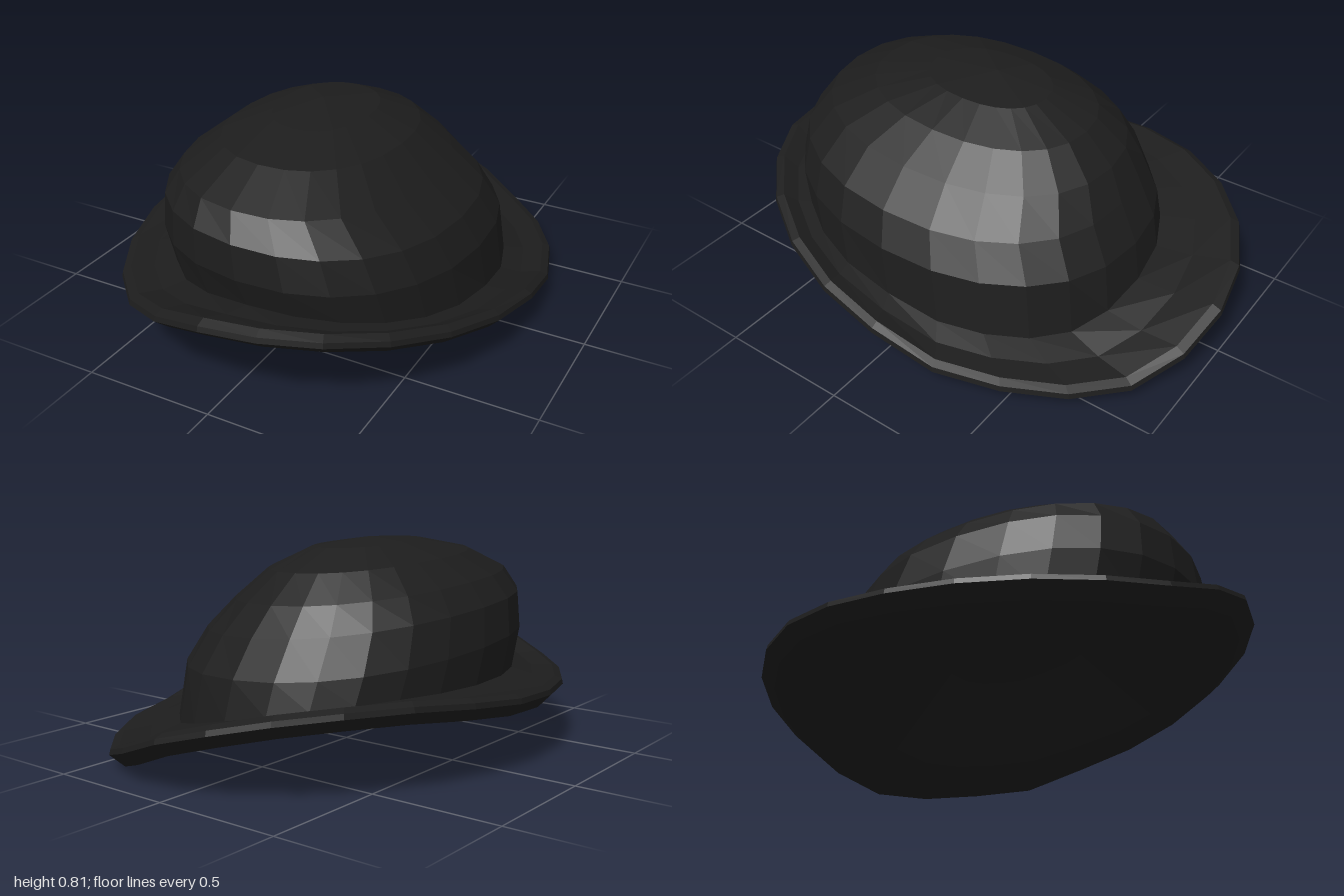
import * as THREE from 'three';

const SEG = 24;
const felt = new THREE.MeshStandardMaterial({ color: 0x1d1d1d });
felt.name = 'black felt';

// Height of the wavy brim edge every 30 degrees, from +x round towards +z
const WAVE = [0.13, 0.22, 0.3, 0.32, 0.23, 0.22, 0.25, 0.3, 0.28, 0.185, 0.048, 0.058];
const curve = new THREE.CatmullRomCurve3(WAVE.map((y, i) => new THREE.Vector3(i, y, 0)), true);
const edgeHeight = (k) => curve.getPoint(k / SEG).y;

// Tilted crown rings: [xMin, y, xMax, y, zFront, y, zBack, y]
const CROWN = [
  [-0.22, 0.790, 0.13, 0.775, 0.33, 0.78, -0.18, 0.77],
  [-0.37, 0.740, 0.28, 0.710, 0.56, 0.73, -0.36, 0.69],
  [-0.48, 0.650, 0.41, 0.600, 0.75, 0.65, -0.48, 0.59],
  [-0.545, 0.56, 0.54, 0.480, 0.81, 0.56, -0.55, 0.48],
  [-0.57, 0.400, 0.60, 0.340, 0.82, 0.45, -0.63, 0.36],
  [-0.56, 0.270, 0.62, 0.180, 0.78, 0.32, -0.66, 0.21],
];

function ring(fn) {
  return Array.from({ length: SEG }, (_, k) => fn((k / SEG) * Math.PI * 2, k));
}

function crownRing([xl, yl, xr, yr, zf, yf, zb, yb]) {
  const soft = (v) => Math.sign(v) * Math.abs(v) ** 0.9;
  return ring((t) => {
    const c = Math.cos(t), s = Math.sin(t);
    return new THREE.Vector3(
      (xl + xr) / 2 + ((xr - xl) / 2) * soft(c),
      (yl + yr + yf + yb) / 4 + ((yr - yl) / 2) * c + ((yf - yb) / 2) * s,
      (zf + zb) / 2 + ((zf - zb) / 2) * soft(s));
  });
}

function edgeRing(scale, lift) {
  return ring((t, k) => new THREE.Vector3(
    scale * (0.785 * Math.cos(t) - 0.02 * Math.sin(t)), edgeHeight(k) + lift, scale * Math.sin(t)));
}

// Ring part of the way from a to b, where b may be a one-point ring
function between(a, b, f, lift) {
  return a.map((p, k) => {
    const q = p.clone().lerp(b[k % b.length], f);
    q.y += lift;
    return q;
  });
}

// Faceted skin over successive rings; a one-point ring closes an end
function loft(name, rings) {
  const pos = [];
  const tri = (...pts) => pts.forEach((p) => pos.push(p.x, p.y, p.z));
  for (let i = 0; i + 1 < rings.length; i++) {
    const up = rings[i], lo = rings[i + 1];
    for (let k = 0; k < SEG; k++) {
      const n = (k + 1) % SEG;
      const a = up[k % up.length], b = up[n % up.length];
      const c = lo[k % lo.length], d = lo[n % lo.length];
      if (up.length > 1) tri(a, b, c);
      if (lo.length > 1) tri(b, d, c);
    }
  }
  const geo = new THREE.BufferGeometry();
  geo.setAttribute('position', new THREE.Float32BufferAttribute(pos, 3));
  geo.computeVertexNormals();
  const mesh = new THREE.Mesh(geo, felt);
  mesh.name = name;
  return mesh;
}

export function createModel() {
  const hat = new THREE.Group();
  hat.name = 'hat';

  // Domed crown leaning to one side, its foot following the wave of the brim
  const crown = CROWN.map(crownRing);
  const base = crown[crown.length - 1];
  base.forEach((p, k) => { p.y = (p.y + edgeHeight(k) + 0.02) / 2; });
  hat.add(loft('crown', [[new THREE.Vector3(-0.07, 0.803, 0.06)], ...crown]));

  // Brim with an edge tucked inwards below
  const lip = edgeRing(0.96, 0.038);
  const under = edgeRing(0.94, -0.046);
  hat.add(loft('brim', [
    base, between(base, lip, 0.5, -0.012), lip,
    edgeRing(0.995, 0.025), edgeRing(1, 0.005), under,
  ]));

  // Underside of the brim rising into a hollow beneath the crown
  const peak = [new THREE.Vector3(0.02, 0.55, 0.04)];
  const opening = between(base, peak, 0.06, -0.065);
  hat.add(loft('underside', [
    under, between(under, opening, 0.5, 0), opening, between(opening, peak, 0.5, 0.03), peak,
  ]));
  return hat;
}
